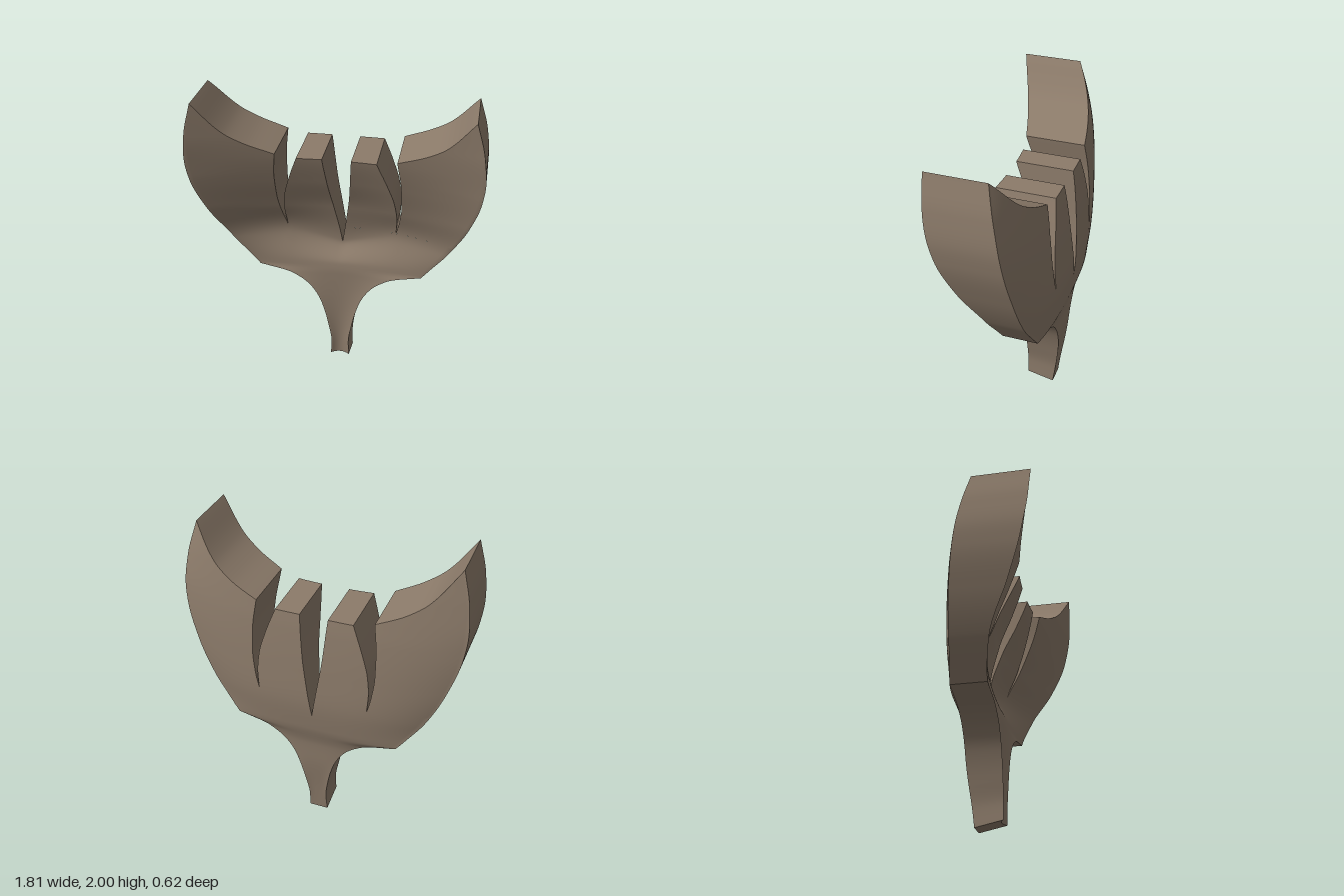
import * as THREE from 'three';
import { mergeGeometries } from 'three/addons/utils/BufferGeometryUtils.js';

// Smooth curve through [key, value] pairs that never overshoots
function curve(pts) {
  const n = pts.length;
  const d = [];
  for (let i = 0; i < n - 1; i++) d.push((pts[i + 1][1] - pts[i][1]) / (pts[i + 1][0] - pts[i][0]));
  const m = pts.map((p, i) => {
    if (i === 0) return d[0];
    if (i === n - 1) return d[n - 2];
    return d[i - 1] * d[i] <= 0 ? 0 : (2 * d[i - 1] * d[i]) / (d[i - 1] + d[i]);
  });
  return (k) => {
    if (k <= pts[0][0]) return pts[0][1];
    if (k >= pts[n - 1][0]) return pts[n - 1][1];
    let i = 0;
    while (k > pts[i + 1][0]) i++;
    const h = pts[i + 1][0] - pts[i][0], t = (k - pts[i][0]) / h, t2 = t * t, t3 = t2 * t;
    return (2 * t3 - 3 * t2 + 1) * pts[i][1] + (t3 - 2 * t2 + t) * h * m[i]
      + (3 * t2 - 2 * t3) * pts[i + 1][1] + (t3 - t2) * h * m[i + 1];
  };
}

// Outline of one half: x as a function of height
const HIP = 0.735, FORK = 0.9, SPLIT = 1.02, INNER_TOP = 1.61, OUTER_TOP = 1.64;
const stemEdge = curve([[0, 0.063], [0.12, 0.059], [0.28, 0.08], [0.465, 0.127], [0.59, 0.196], [0.69, 0.335], [HIP, 0.54]]);
const bladeEdge = curve([[HIP, 0.54], [0.8, 0.59], [0.97, 0.71], [1.21, 0.82], [1.47, 0.893], [1.6, 0.905], [1.79, 0.885], [2, 0.83]]);
const edge = (y) => (y < HIP ? stemEdge(y) : bladeEdge(y));
const centreSlit = curve([[FORK, 0], [1.13, 0.036], [1.31, 0.062], [INNER_TOP, 0.09]]);
const innerTineEdge = curve([[SPLIT, 0.358], [1.15, 0.366], [1.28, 0.354], [1.44, 0.31], [INNER_TOP, 0.248]]);
const outerTineInner = curve([[SPLIT, 0.358], [1.13, 0.382], [1.29, 0.399], [1.44, 0.397], [OUTER_TOP, 0.375]]);
const outerTineTop = curve([[OUTER_TOP, 0.375], [1.715, 0.545], [1.8, 0.67], [2, 0.83]]);

// Depth of the front and back skins, blended from the middle to the outer edge
const frontRim = curve([[0, -0.015], [0.72, -0.012], [0.95, 0.03], [1.24, 0.165], [1.5, 0.255], [1.77, 0.3], [2, 0.31]]);
const backMid = curve([[0, -0.195], [0.2, -0.215], [0.45, -0.245], [0.62, -0.256], [0.78, -0.29], [1, -0.308], [1.23, -0.296], [1.5, -0.27], [1.63, -0.25], [2, -0.19]]);
const backRim = curve([[0, -0.195], [0.45, -0.245], [0.65, -0.247], [0.92, -0.215], [1.2, -0.19], [1.6, -0.14], [2, -0.065]]);

function frontZ(x, y) {
  const ax = Math.abs(x);
  const valley = 0.9 + 0.1 * Math.min(1, ax / 0.35);
  const mid = curve([[0, -0.04], [0.7, -0.035], [0.77, -0.042], [valley, -0.12], [1.2, -0.05], [1.42, 0.045], [1.62, 0.118], [2, 0.2]]);
  const t = Math.min(1, ax / edge(y)) ** 2;
  return mid(y) * (1 - t) + frontRim(y) * t;
}
function backZ(x, y) {
  const t = Math.min(1, Math.abs(x) / edge(y)) ** 3;
  return backMid(y) * (1 - t) + backRim(y) * t;
}
// The foot of the stem is cut at a slant, higher at the front
const slant = (y) => y + 0.038 * Math.max(0, 1 - y / 0.3);

// Grid surface from fn(u, v) -> [x, y, z]
function grid(nu, nv, fn, flip, normalFn) {
  const pos = [], nor = [], idx = [];
  for (let j = 0; j <= nv; j++) {
    for (let i = 0; i <= nu; i++) {
      const p = fn(i / nu, j / nv);
      pos.push(...p);
      if (normalFn) nor.push(...normalFn(p));
      if (i < nu && j < nv) {
        const a = j * (nu + 1) + i, b = a + 1, c = a + nu + 1, d = c + 1;
        if (flip) idx.push(a, d, b, a, c, d);
        else idx.push(a, b, d, a, d, c);
      }
    }
  }
  const g = new THREE.BufferGeometry();
  g.setAttribute('position', new THREE.Float32BufferAttribute(pos, 3));
  g.setIndex(idx);
  if (normalFn) g.setAttribute('normal', new THREE.Float32BufferAttribute(nor, 3));
  else g.computeVertexNormals();
  return g;
}

const slopeNormal = (f, sign) => ([x, y]) => {
  const h = 0.012;
  const dx = (f(x + h, y) - f(x - h, y)) / (2 * h), dy = (f(x, y + h) - f(x, y - h)) / (2 * h);
  return new THREE.Vector3(-dx, -dy, 1).normalize().multiplyScalar(sign).toArray();
};

// Front and back skins between two edges
function skins(side, lo, hi, y0, y1, rows) {
  const at = (u, v) => {
    const y = y0 + (y1 - y0) * v;
    return [side * (lo(y) + (hi(y) - lo(y)) * u), y];
  };
  const front = (u, v) => { const [x, y] = at(u, v); return [x, slant(y), frontZ(x, y)]; };
  const back = (u, v) => { const [x, y] = at(u, v); return [x, y, backZ(x, y)]; };
  return [
    grid(20, rows, front, side < 0, slopeNormal(frontZ, 1)),
    grid(20, rows, back, side > 0, slopeNormal(backZ, -1)),
  ];
}

// Wall joining front to back along a path t -> [x, y]
function wall(side, path, n, flip) {
  return grid(n, 1, (u, v) => {
    const [px, y] = path(u), x = side * px;
    return v === 0 ? [x, slant(y), frontZ(x, y)] : [x, y, backZ(x, y)];
  }, flip !== (side < 0));
}
const rising = (f, y0, y1) => (t) => { const y = y0 + (y1 - y0) * t; return [f(y), y]; };
const level = (x0, x1, y) => (t) => [x0 + (x1 - x0) * t, y];

export function createModel() {
  const model = new THREE.Group();
  const clay = new THREE.MeshStandardMaterial({ color: 0x8c7b6a });
  clay.name = 'warm taupe';
  const zero = () => 0;
  const add = (name, parts) => {
    const mesh = new THREE.Mesh(mergeGeometries(parts), clay);
    mesh.name = name;
    model.add(mesh);
  };

  const stem = [], palm = [];
  for (const s of [1, -1]) {
    const label = s > 0 ? 'left' : 'right';
    // Stem flaring out to the hip
    stem.push(...skins(s, zero, stemEdge, 0, HIP, 48),
      wall(s, rising(stemEdge, 0, HIP), 48, true),
      wall(s, level(0, stemEdge(0), 0), 8, true));
    // Palm with the hollow ledge below the tines
    palm.push(...skins(s, zero, bladeEdge, HIP, FORK, 14),
      ...skins(s, centreSlit, bladeEdge, FORK, SPLIT, 10),
      wall(s, rising(bladeEdge, HIP, SPLIT), 24, true),
      wall(s, rising(centreSlit, FORK, SPLIT), 10, false));
    // Inner tine
    add(label + 'InnerTine', [
      ...skins(s, centreSlit, innerTineEdge, SPLIT, INNER_TOP, 30),
      wall(s, rising(centreSlit, SPLIT, INNER_TOP), 30, false),
      wall(s, rising(innerTineEdge, SPLIT, INNER_TOP), 30, true),
      wall(s, level(centreSlit(INNER_TOP), innerTineEdge(INNER_TOP), INNER_TOP), 20, false),
    ]);
    // Outer tine sweeping up to a point
    add(label + 'OuterTine', [
      ...skins(s, outerTineInner, bladeEdge, SPLIT, OUTER_TOP, 30),
      ...skins(s, outerTineTop, bladeEdge, OUTER_TOP, 2, 24),
      wall(s, rising(outerTineInner, SPLIT, OUTER_TOP), 30, false),
      wall(s, rising(outerTineTop, OUTER_TOP, 2), 24, false),
      wall(s, rising(bladeEdge, SPLIT, 2), 54, true),
    ]);
  }
  add('stem', stem);
  add('palm', palm);
  return model;
}
